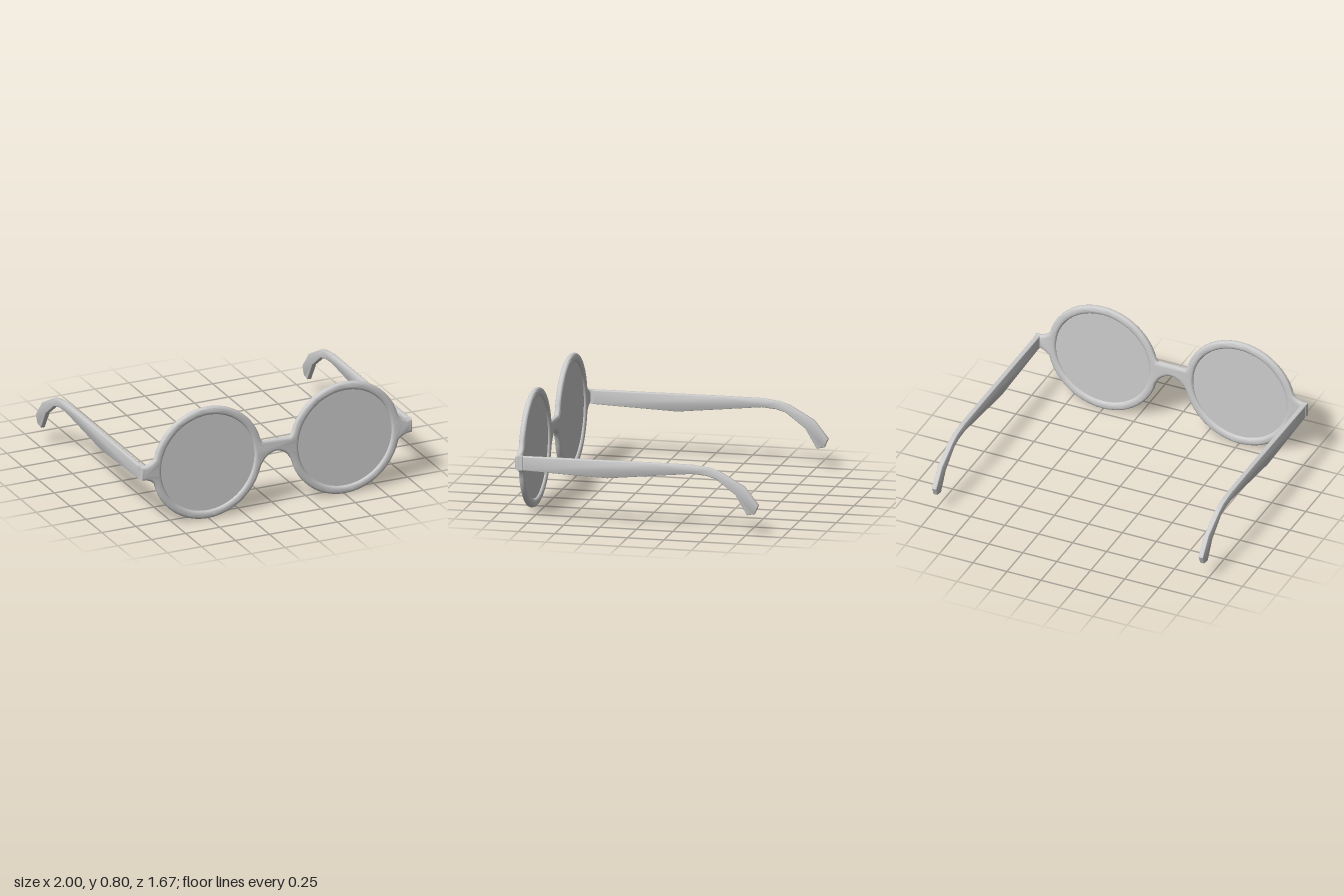
import * as THREE from 'three';
import { toCreasedNormals } from 'three/addons/utils/BufferGeometryUtils.js';

const material = new THREE.MeshStandardMaterial({ color: 0xcccccc });
const CX = 0.505, CY = 0.404, RIM = 0.402, LENS = 0.345;

function addMesh(parent, geometry, name) {
  const mesh = new THREE.Mesh(geometry, material);
  mesh.name = name;
  parent.add(mesh);
  return mesh;
}

// Extrudes a shape with rounded edges, keeping its outline and total thickness
function roundedSlab(shape, thickness, bevelSize, bevelThickness, crease) {
  const geometry = new THREE.ExtrudeGeometry(shape, {
    depth: thickness - 2 * bevelThickness, steps: 1, curveSegments: 48,
    bevelEnabled: true, bevelSize, bevelThickness, bevelOffset: -bevelSize, bevelSegments: 4,
  });
  geometry.translate(0, 0, bevelThickness);
  return toCreasedNormals(geometry, crease);
}

// Points on the left rim between two angles in degrees
function rimArc(from, to, steps) {
  return Array.from({ length: steps + 1 }, (_, i) => {
    const a = THREE.MathUtils.degToRad(from + ((to - from) * i) / steps);
    return new THREE.Vector2(CX + RIM * Math.cos(a), CY + RIM * Math.sin(a));
  });
}

function frontShape() {
  const v = (x, y) => new THREE.Vector2(x, y);
  // Half outline: bridge top, upper rim, end piece, lower rim, bridge arch
  const half = [
    v(0.1, 0.485),
    ...rimArc(166, 13, 22),
    v(0.925, 0.472), v(0.96, 0.457), v(1, 0.456),
    v(1, 0.36), v(0.96, 0.357), v(0.925, 0.342),
    ...rimArc(-12, -167, 22),
    v(0.085, 0.358), v(0.055, 0.382), v(0.025, 0.396),
  ];
  const mirrored = half.map((p) => v(-p.x, p.y)).reverse();
  const shape = new THREE.Shape([...half, v(0, 0.4), ...mirrored]);
  for (const side of [-1, 1]) {
    shape.holes.push(new THREE.Path().absarc(side * CX, CY, LENS, 0, Math.PI * 2, false));
  }
  return shape;
}

// Side profile of a temple arm: x runs backwards, y up
function templeShape() {
  return new THREE.Shape([
    [-0.782, 0.455], [0.1, 0.461], [0.38, 0.461], [0.5, 0.447], [0.57, 0.425],
    [0.74, 0.33], [0.836, 0.208], [0.81, 0.15], [0.757, 0.139],
    [0.68, 0.272], [0.545, 0.375], [0.48, 0.394], [0.38, 0.402],
    [-0.2, 0.339], [-0.782, 0.359],
  ].map(([x, y]) => new THREE.Vector2(x, y)));
}

export function createModel() {
  const group = new THREE.Group();
  group.name = 'glasses';

  // Front frame with both rims, bridge and end pieces
  const front = roundedSlab(frontShape(), 0.042, 0.022, 0.016, 0.7);
  addMesh(group, front, 'frontFrame').position.z = 0.795;

  const temple = roundedSlab(templeShape(), 0.035, 0.007, 0.007, 0.6);
  temple.rotateY(Math.PI / 2).translate(-0.0175, 0, 0);
  const lens = new THREE.CylinderGeometry(LENS + 0.003, LENS + 0.003, 0.008, 64);
  lens.rotateX(Math.PI / 2);
  const hinge = new THREE.BoxGeometry(0.035, 0.094, 0.035);

  for (const [side, prefix] of [[1, 'left'], [-1, 'right']]) {
    addMesh(group, lens, prefix + 'Lens').position.set(side * CX, CY, 0.816);
    addMesh(group, hinge, prefix + 'Hinge').position.set(side * 0.981, 0.408, 0.799);
    addMesh(group, temple, prefix + 'Temple').position.x = side * 0.981;
  }
  return group;
}
